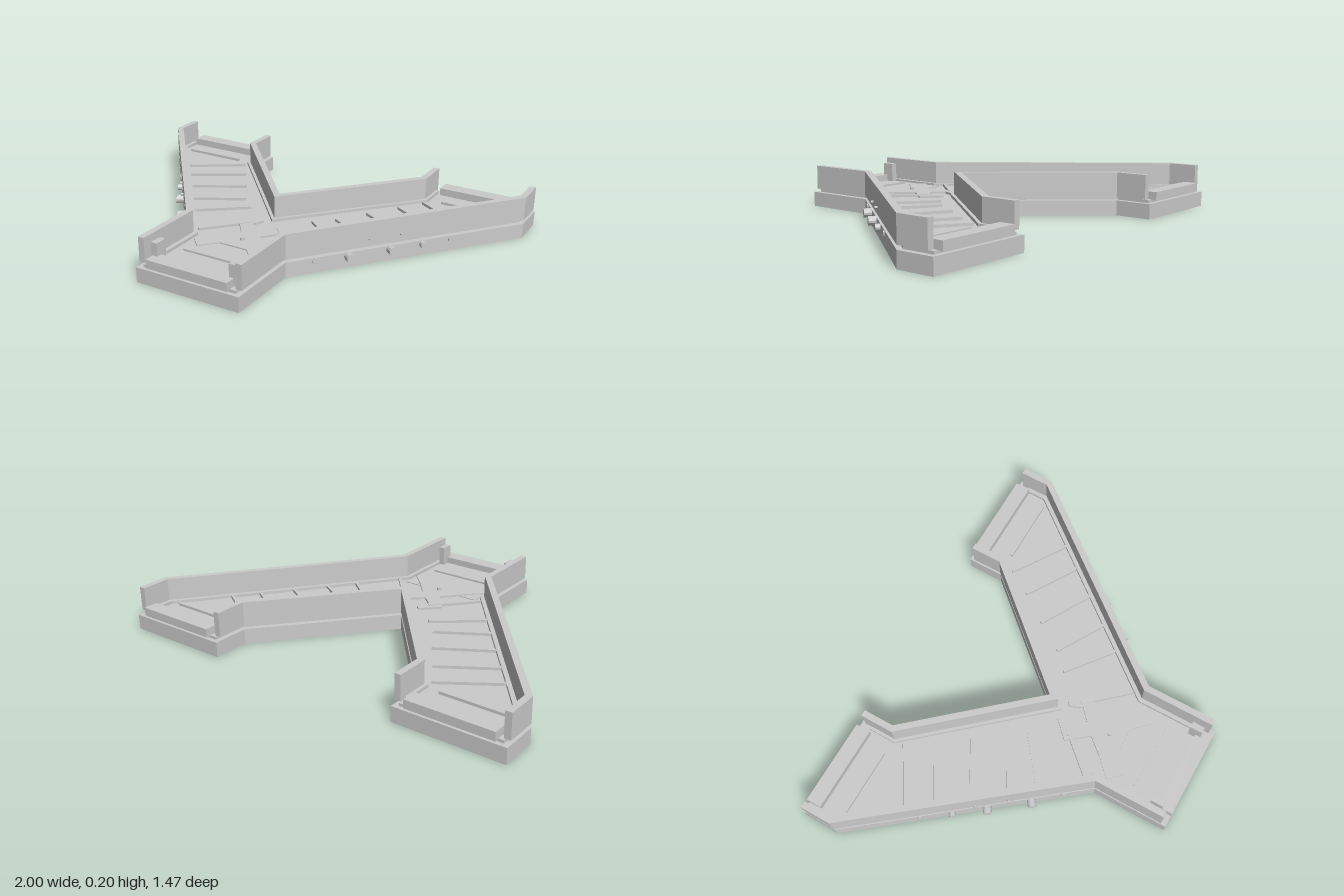
import * as THREE from 'three';

const mat = new THREE.MeshStandardMaterial({ color: 0xcccccc, flatShading: true });

// Moves an open path of [x, z] points inward by d, with mitred corners
function inset(path, d) {
  const normal = (a, b) => {
    const dx = b[0] - a[0], dz = b[1] - a[1], l = Math.hypot(dx, dz);
    return [dz / l, -dx / l];
  };
  return path.map((p, i) => {
    const n1 = normal(path[Math.max(i - 1, 0)], path[Math.max(i, 1)]);
    const last = path.length - 1;
    const n2 = normal(path[Math.min(i, last - 1)], path[Math.min(i + 1, last)]);
    const k = d / (1 + n1[0] * n2[0] + n1[1] * n2[1]);
    return [p[0] + (n1[0] + n2[0]) * k, p[1] + (n1[1] + n2[1]) * k];
  });
}

const mirror = (path) => path.map(([x, z]) => [-x, z]).reverse();

export function createModel() {
  const group = new THREE.Group();

  const add = (name, geometry) => {
    const mesh = new THREE.Mesh(geometry, mat);
    mesh.name = name;
    group.add(mesh);
    return mesh;
  };
  // Plan outline raised from y0 to y1
  const slab = (name, pts, y0, y1) => {
    const shape = new THREE.Shape(pts.map(([x, z]) => new THREE.Vector2(x, z)));
    const geo = new THREE.ExtrudeGeometry(shape, { depth: y1 - y0, bevelEnabled: false });
    return add(name, geo.rotateX(Math.PI / 2).translate(0, y1, 0));
  };
  const block = (name, x0, x1, y0, y1, z0, z1) =>
    add(name, new THREE.BoxGeometry(x1 - x0, y1 - y0, z1 - z0)
      .translate((x0 + x1) / 2, (y0 + y1) / 2, (z0 + z1) / 2));
  // Strip that follows a path between two inset distances
  const strip = (name, path, d0, d1, y0, y1) =>
    slab(name, [...inset(path, d0), ...inset(path, d1).reverse()], y0, y1);
  // Straight bar between two plan points
  const bar = (name, [ax, az], [bx, bz], width, y0, y1) => {
    const mesh = add(name, new THREE.BoxGeometry(Math.hypot(bx - ax, bz - az), y1 - y0, width));
    mesh.position.set((ax + bx) / 2, (y0 + y1) / 2, (az + bz) / 2);
    mesh.rotation.y = -Math.atan2(bz - az, bx - ax);
  };

  // Edges of the Y: outer right side, and the V between the two arms
  const side = (end) => [[0.26, end], [0.26, 0.37], [1, -0.56], [1, -end]];
  const vee = (end) => {
    const half = [[0.48, -end], [0.48, -0.56]];
    return [...half, [0, -0.01], ...mirror(half)];
  };
  const outline = (end, d) =>
    [...inset(side(end), d), ...inset(vee(end), d), ...mirror(inset(side(end), d))];

  // Base and floor
  slab('base', outline(0.735, 0), 0, 0.071);
  slab('floor', outline(0.715, 0.025), 0.07, 0.084);

  // Walls
  const right = side(0.71);
  strip('innerWall', vee(0.71), 0, 0.03, 0.089, 0.204);
  strip('innerWallFoot', vee(0.68), 0.025, 0.045, 0.08, 0.098);
  const rightWall = strip('outerWall', right, 0, 0.03, 0.089, 0.204);
  const rightFoot = strip('outerWallFoot', side(0.68), 0.025, 0.05, 0.08, 0.098);
  for (const part of [rightWall, rightFoot]) {
    const path = part === rightWall ? right : side(0.68);
    const d = part === rightWall ? [0, 0.03] : [0.025, 0.05];
    const y = part === rightWall ? [0.089, 0.204] : [0.08, 0.098];
    slab(part.name, mirror([...inset(path, d[0]), ...inset(path, d[1]).reverse()]), ...y);
  }

  // Front landing: thin plate, sill, slat
  block('frontPlate', -0.205, 0.205, 0.08, 0.088, 0.315, 0.7);
  block('frontSill', -0.205, 0.205, 0.08, 0.12, 0.66, 0.735);
  bar('frontSlat', [-0.165, 0.52], [0.165, 0.52], 0.013, 0.08, 0.097);

  // Crossed plate and stud where the arms meet
  const cross = [[0, 0.19], [0.055, 0.14], [0.03, 0.08], [0.05, 0.06], [0.13, 0.14], [0.05, 0.24],
    [0.12, 0.32], [0.2, 0.4], [0.14, 0.46], [0.07, 0.385]];
  slab('crossPlate', [...cross, ...mirror(cross.slice(1))], 0.08, 0.094);
  add('centreStud', new THREE.CylinderGeometry(0.01, 0.01, 0.02, 12)).position.set(0, 0.096, 0.31);

  // Floor slats of one arm, outer end to inner end
  const slats = [
    [[0.91, -0.56], [0.59, -0.56]],
    [[0.78, -0.34], [0.515, -0.51]],
    [[0.7, -0.23], [0.44, -0.39]],
    [[0.6, -0.1], [0.34, -0.25]],
    [[0.49, 0.03], [0.25, -0.11]],
    [[0.4, 0.15], [0.17, -0.03]],
    [[0.24, 0.31], [0.07, 0.12]],
  ];
  // Outward direction of the long side
  const out = new THREE.Vector3(0.783, 0, 0.623);

  for (const s of [1, -1]) {
    for (const [a, b] of slats) bar('floorSlat', [s * a[0], a[1]], [s * b[0], b[1]], 0.013, 0.08, 0.097);

    // Back sill and front corner posts
    const xs = [s * 0.54, s * 0.95].sort((a, b) => a - b);
    block('backSill', ...xs, 0.08, 0.12, -0.735, -0.663);
    const px = [s * 0.182, s * 0.212].sort((a, b) => a - b);
    block('frontPost', ...px, 0.08, 0.18, 0.625, 0.685);

    // Round pegs and small bolts on the outer face: z, height, radius, reach
    const pegs = [[0.26, 0.055, 0.016, 0.005], [0.14, 0.055, 0.02, 0.035], [-0.02, 0.055, 0.02, 0.035],
      [-0.145, 0.055, 0.016, 0.022], [-0.26, 0.055, 0.014, 0.005],
      [0.06, 0.12, 0.006, 0.012], [-0.06, 0.12, 0.006, 0.012]];
    for (const [z, y, radius, reach] of pegs) {
      const dir = new THREE.Vector3(s * out.x, 0, out.z);
      const peg = add(y > 0.1 ? 'wallBolt' : 'sidePeg', new THREE.CylinderGeometry(radius, radius, reach + 0.02, 12));
      peg.quaternion.setFromUnitVectors(new THREE.Vector3(0, 1, 0), dir);
      peg.position.set(s * (0.26 + (0.37 - z) * 0.796), y, z).addScaledVector(dir, reach / 2 - 0.01);
    }
  }

  return group;
}
